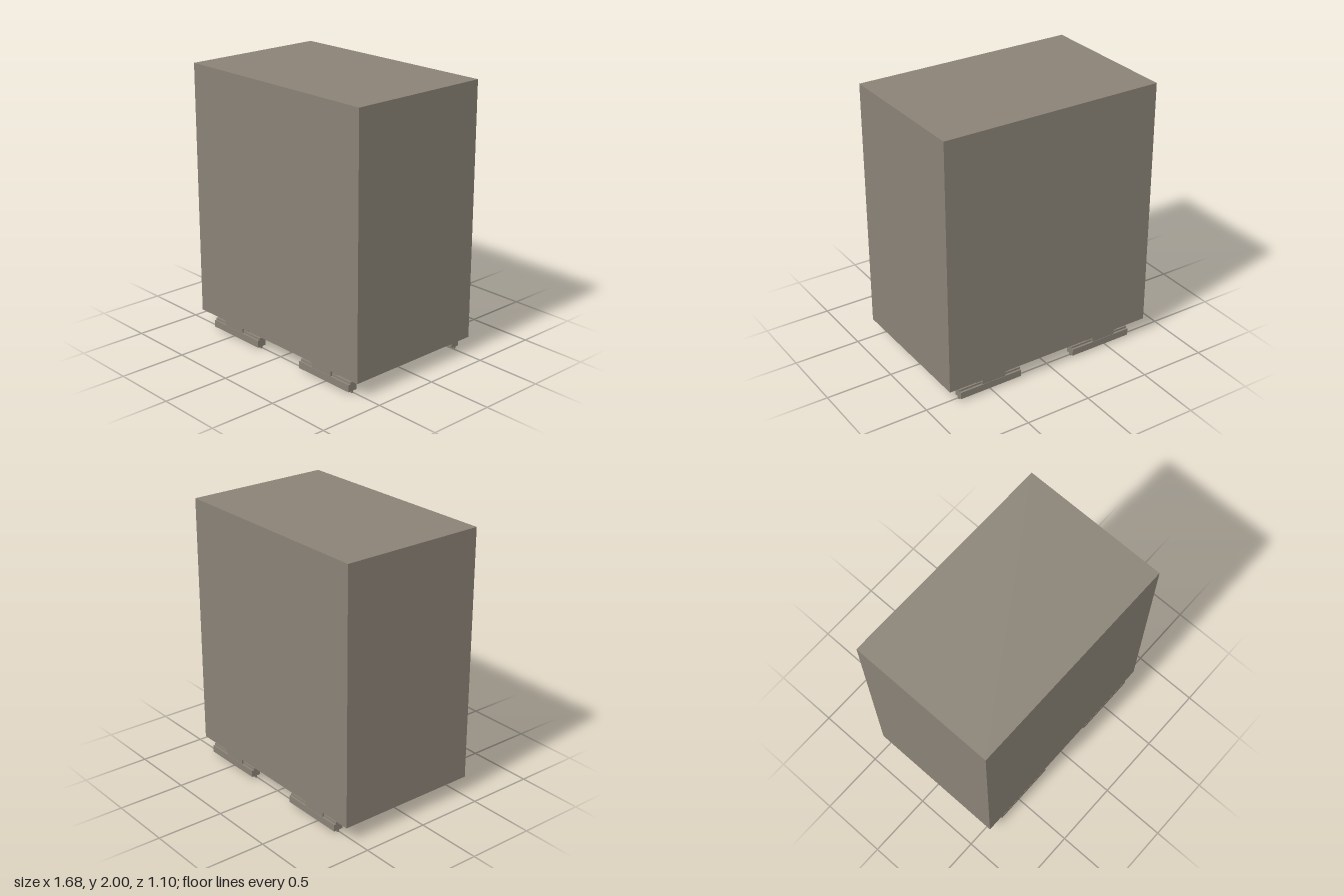
import * as THREE from 'three';

export function createModel() {
  const model = new THREE.Group();
  const taupe = new THREE.MeshStandardMaterial({ color: 0x8a8276 });
  taupe.name = 'taupe';

  const addBox = (parent, name, [x0, x1], [y0, y1], [z0, z1]) => {
    const mesh = new THREE.Mesh(new THREE.BoxGeometry(x1 - x0, y1 - y0, z1 - z0), taupe);
    mesh.name = name;
    mesh.position.set((x0 + x1) / 2, (y0 + y1) / 2, (z0 + z1) / 2);
    parent.add(mesh);
  };

  // Main cabinet
  addBox(model, 'cabinet', [-0.84, 0.84], [0.112, 2], [-0.55, 0.55]);

  // Stepped rail section: fin at the bottom, wide body, narrow top
  const half = [[0.007, 0], [0.007, 0.016], [0.036, 0.016], [0.036, 0.068], [0.02, 0.068], [0.02, 0.083]];
  const outline = [...half, ...half.map(([z, y]) => [-z, y]).reverse()];
  const section = new THREE.Shape(outline.map(([z, y]) => new THREE.Vector2(z, y)));
  const railGeometry = new THREE.ExtrudeGeometry(section, { depth: 0.5, bevelEnabled: false });
  railGeometry.rotateY(Math.PI / 2);

  // Four feet: a long rail held by a short carriage
  for (const x of [-0.475, 0.475]) {
    for (const z of [-0.508, 0.508]) {
      const foot = new THREE.Group();
      foot.name = 'foot';
      foot.position.set(x, 0, z);

      const rail = new THREE.Mesh(railGeometry, taupe);
      rail.name = 'rail';
      rail.position.x = -0.225;
      foot.add(rail);

      addBox(foot, 'carriageCore', [-0.135, 0.135], [0.083, 0.112], [-0.012, 0.012]);
      for (const side of [-1, 1]) {
        const edges = [side * 0.018, side * 0.033].sort((a, b) => a - b);
        addBox(foot, 'carriagePlate', [-0.095, 0.095], [0.068, 0.112], edges);
      }
      model.add(foot);
    }
  }
  return model;
}
